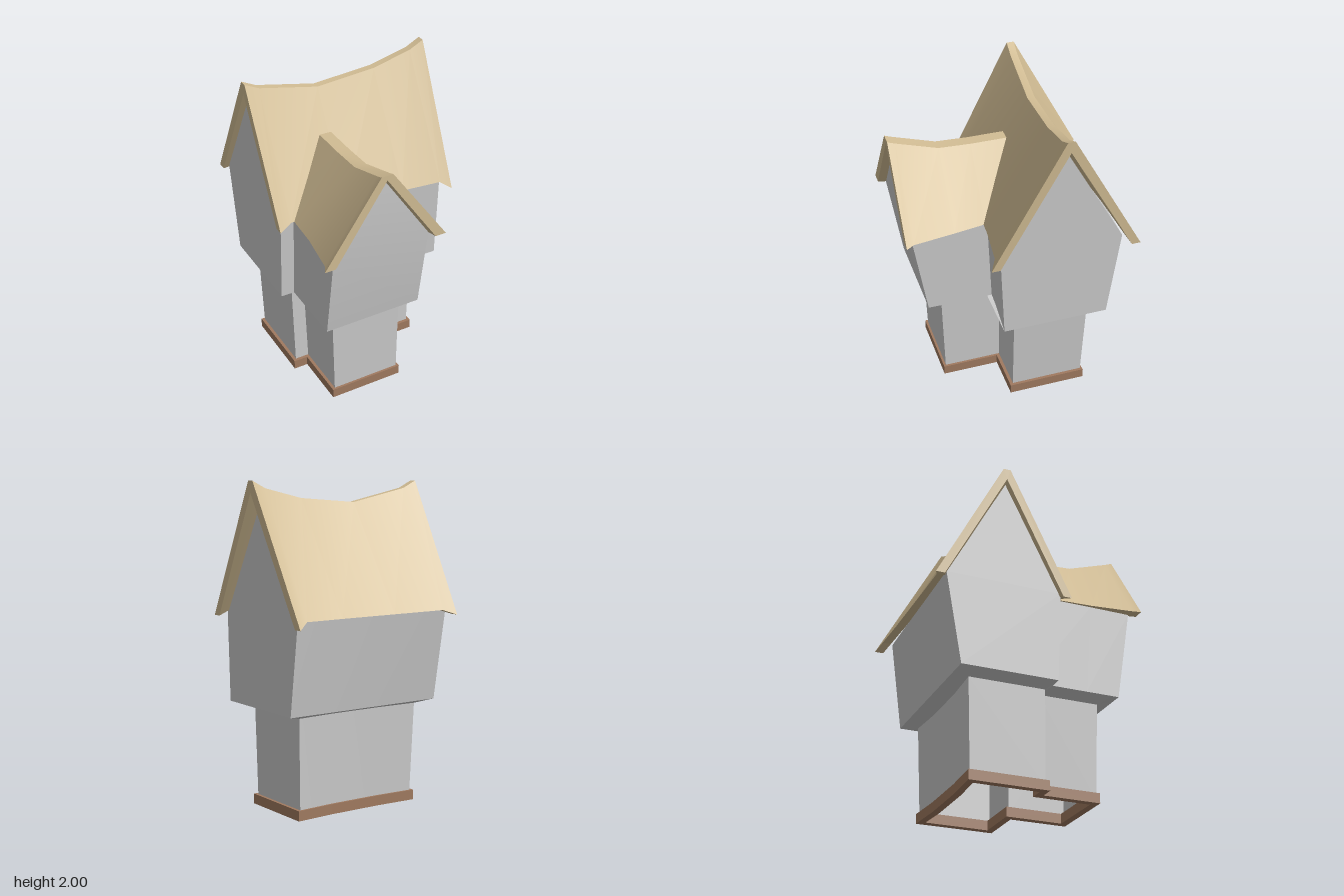
import * as THREE from 'three';
import { toCreasedNormals } from 'three/addons/utils/BufferGeometryUtils.js';

const material = (color) => new THREE.MeshStandardMaterial({ color, side: THREE.DoubleSide });
const plaster = material(0xcccccc);
const thatch = material(0xd2bd94);
const wood = material(0xa07a60);

// Skin a row of equal cross-sections; cap lists the triangles closing both ends
function loft(name, sections, mat, cap = []) {
  const pos = [];
  const tri = (a, b, c) => pos.push(...a, ...b, ...c);
  const n = sections[0].length;
  for (let i = 0; i < sections.length - 1; i++) {
    const s = sections[i], t = sections[i + 1];
    for (let j = 0; j < n; j++) {
      const k = (j + 1) % n;
      tri(s[j], t[k], s[k]);
      tri(s[j], t[j], t[k]);
    }
  }
  const first = sections[0], last = sections[sections.length - 1];
  for (const [a, b, c] of cap) {
    tri(first[a], first[b], first[c]);
    tri(last[a], last[c], last[b]);
  }
  const geo = new THREE.BufferGeometry();
  geo.setAttribute('position', new THREE.Float32BufferAttribute(pos, 3));
  geo.computeVertexNormals();
  const mesh = new THREE.Mesh(toCreasedNormals(geo, 0.45), mat);
  mesh.name = name;
  return mesh;
}

const WALL_CAP = [[0, 1, 4], [1, 2, 3], [1, 3, 4]];
const ROOF_CAP = [[0, 1, 6], [1, 5, 6], [1, 2, 5], [2, 4, 5], [2, 3, 4]];

// Chevron slab section: at(across, height, atEave) places a point
function roofSection(eaveA, eaveB, ridgeA, ridgeB, eaveY, ridgeY, thick, drop, at) {
  const inset = Math.sign(eaveB - eaveA) * thick;
  return [
    at(eaveA, eaveY, true), at(ridgeA, ridgeY), at(ridgeB, ridgeY), at(eaveB, eaveY, true),
    at(eaveB - inset, eaveY, true), at((ridgeA + ridgeB) / 2, ridgeY - drop), at(eaveA + inset, eaveY, true),
  ];
}

export function createModel() {
  const house = new THREE.Group();
  house.name = 'house';

  // Sagging main roof: ridge x, eave x, ridge y, eave y, front z, back z, ridge z
  const mainStations = [
    [-0.59, -0.585, 1.99, 1.19, 0.19, -0.675, -0.21],
    [-0.5, -0.5, 1.945, 1.22, 0.16, -0.64, -0.207],
    [-0.13, -0.13, 1.865, 1.22, 0.165, -0.64, -0.19],
    [0.25, 0.25, 1.895, 1.22, 0.185, -0.64, -0.182],
    [0.5, 0.5, 1.955, 1.22, 0.215, -0.645, -0.18],
    [0.59, 0.565, 2.0, 1.177, 0.255, -0.675, -0.18],
  ];
  house.add(loft('mainRoof', mainStations.map(([rx, ex, ry, ey, f, b, rz]) =>
    roofSection(f, b, rz, rz - 0.045, ey, ry, 0.055, 0.07,
      (z, y, eave) => [eave ? ex : rx, y, z])), thatch, ROOF_CAP));

  // Wing roof: z, ridge y, eave y, left and right eave x
  const wingStations = [
    [-0.08, 1.62, 1.22, -0.47, 0.15],
    [0.17, 1.622, 1.22, -0.48, 0.167],
    [0.37, 1.632, 1.22, -0.49, 0.197],
    [0.63, 1.717, 1.218, -0.525, 0.23],
    [0.677, 1.735, 1.21, -0.55, 0.252],
  ];
  house.add(loft('wingRoof', wingStations.map(([z, ry, ey, l, r]) =>
    roofSection(l, r, -0.19, -0.115, ey, ry, 0.07, 0.03,
      (x, y) => [x, y, z])), thatch, ROOF_CAP));

  // Upper main storey with gable ends, leaning outward: x, apex y, apex z, front top z, back top z
  const mainWalls = [
    [-0.555, 1.9, -0.23, 0.13, -0.6],
    [-0.13, 1.78, -0.212, 0.14, -0.59],
    [0.25, 1.81, -0.205, 0.16, -0.582],
    [0.515, 1.89, -0.202, 0.185, -0.575],
  ];
  house.add(loft('upperMainWalls', mainWalls.map(([x, ay, az, f, b]) => [
    [x, 0.65, f - 0.025], [x, 1.22, f], [x, ay, az], [x, 1.22, b], [x, 0.65, -0.5],
  ]), plaster, WALL_CAP));

  // Upper wing storey: bottom z, top z, apex y
  const wingWalls = [[-0.05, -0.05, 1.57], [0.33, 0.37, 1.585], [0.54, 0.63, 1.69]];
  house.add(loft('upperWingWalls', wingWalls.map(([zb, zt, ay]) => [
    [-0.47, 0.65, zb], [-0.47, 1.22, zt], [-0.153, ay, zt], [0.16, 1.22, zt], [0.16, 0.65, zb],
  ]), plaster, WALL_CAP));

  // T-shaped plan with a gently bowed back wall
  const plan = (xl, xr, zb, zm, wl, wr, zf, bow) => [
    [xl, zb], [-0.2, zb + bow], [0.15, zb + bow], [xr, zb], [xr, zm], [wr, zm],
    [wr, zf], [wl, zf], [wl, zm], [xl, zm],
  ];
  const ring = (points, y) => points.map(([x, z]) => [x, y, z]);

  // Lower storey, flaring up into the sloped overhang
  const foot = plan(-0.45, 0.38, -0.4, 0.06, -0.36, 0.085, 0.425, 0.015);
  const top = plan(-0.465, 0.4, -0.42, 0.06, -0.38, 0.085, 0.44, 0.015);
  const overhang = plan(-0.555, 0.515, -0.5, 0.16, -0.47, 0.16, 0.54, 0);
  overhang[8][1] = overhang[9][1] = 0.105;
  house.add(loft('lowerWalls', [ring(foot, 0.03), ring(top, 0.62)], plaster));
  house.add(loft('overhang', [ring(top, 0.62), ring(overhang, 0.65)], plaster));

  // Hollow timber plinth
  const toPath = (points) => points.map(([x, z]) => new THREE.Vector2(x, -z));
  const outline = new THREE.Shape(toPath(plan(-0.47, 0.4, -0.415, 0.08, -0.38, 0.1, 0.44, 0.015)));
  outline.holes.push(new THREE.Path(toPath(plan(-0.425, 0.355, -0.37, 0.035, -0.335, 0.055, 0.395, 0.015))));
  const plinthGeo = new THREE.ExtrudeGeometry(outline, { depth: 0.062, bevelEnabled: false });
  plinthGeo.rotateX(-Math.PI / 2);
  const plinth = new THREE.Mesh(plinthGeo, wood);
  plinth.name = 'plinth';
  house.add(plinth);

  return house;
}
